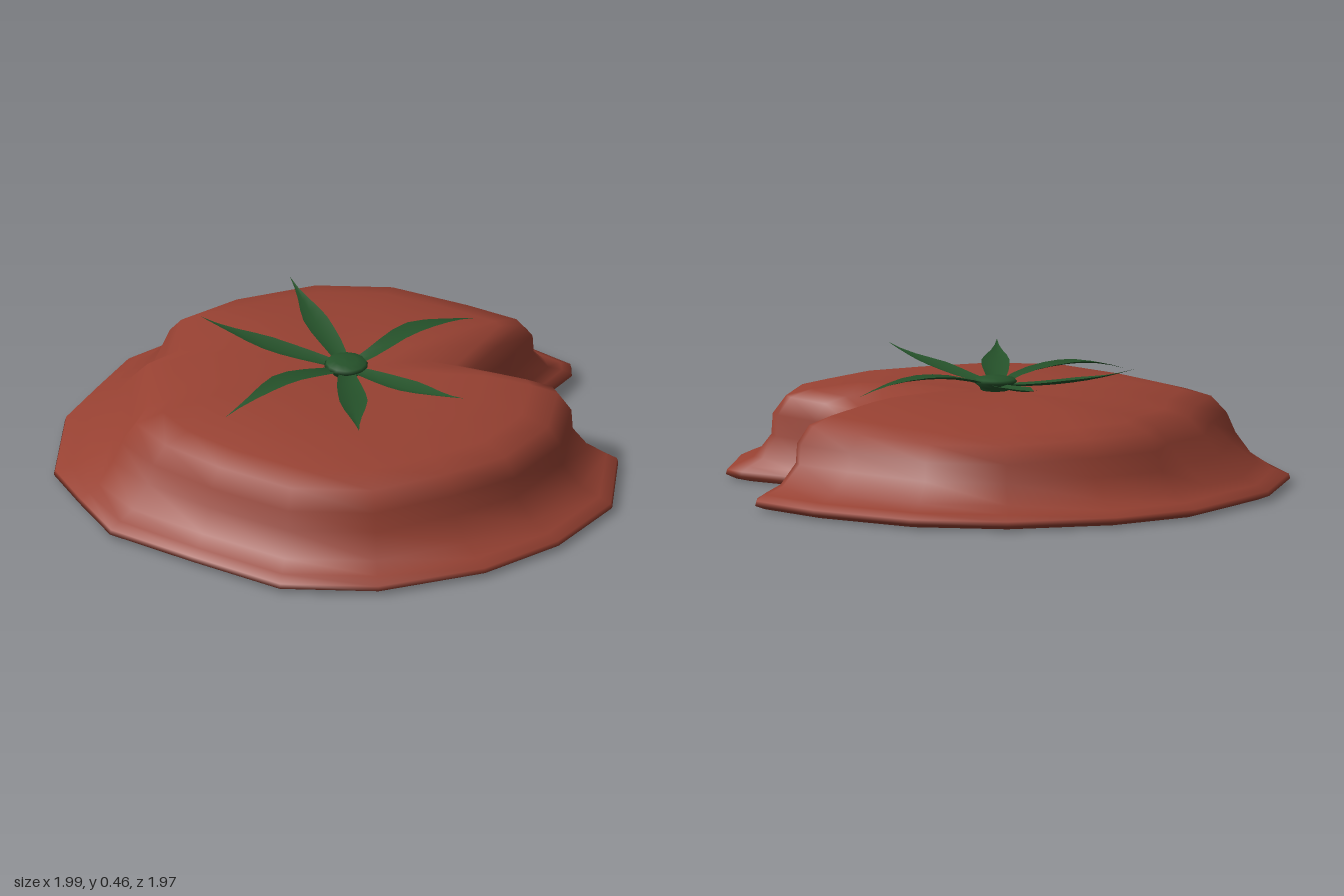
import * as THREE from 'three';

const skin = new THREE.MeshStandardMaterial({ color: 0x974132 });
skin.name = 'tomato red';
const leafGreen = new THREE.MeshStandardMaterial({ color: 0x25522a, side: THREE.DoubleSide });
leafGreen.name = 'leaf green';

const CX = 0.025, CZ = -0.01; // stem position
const lerp = THREE.MathUtils.lerp;

// One row per column: rim x, z, shoulder x, z, shoulder height, slump (0 upright, 1 flattened)
const columns = [
  [0.56, -0.20, 0.49, -0.18, 0.92, 0],
  [0.75, -0.12, 0.66, -0.09, 0.97, 0],
  [0.93, -0.04, 0.80, -0.02, 1.0, 0],
  [0.99, 0.01, 0.825, 0.03, 1.0, 0],
  [0.985, 0.34, 0.80, 0.29, 1.0, 0],
  [0.81, 0.62, 0.65, 0.53, 1.0, 0],
  [0.56, 0.83, 0.44, 0.67, 1.0, 0],
  [0.19, 0.98, 0.17, 0.81, 1.0, 0],
  [-0.16, 0.98, -0.14, 0.81, 1.0, 0],
  [-0.48, 0.80, -0.42, 0.65, 0.98, 0.1],
  [-0.78, 0.62, -0.63, 0.48, 0.96, 0.4],
  [-0.90, 0.40, -0.75, 0.32, 0.96, 0.8],
  [-1.0, 0.20, -0.71, 0.15, 0.92, 1],
  [-0.98, -0.19, -0.73, -0.15, 0.94, 1],
  [-0.88, -0.41, -0.62, -0.28, 0.90, 1],
  [-0.78, -0.62, -0.62, -0.50, 0.93, 0.5],
  [-0.53, -0.84, -0.42, -0.67, 0.92, 0.1],
  [-0.16, -0.985, -0.13, -0.81, 0.89, 0],
  [0.19, -0.985, 0.16, -0.81, 0.89, 0],
  [0.56, -0.83, 0.45, -0.67, 0.92, 0],
  [0.79, -0.66, 0.64, -0.56, 0.94, 0],
  [0.795, -0.60, 0.66, -0.52, 0.94, 0],
  [0.68, -0.40, 0.58, -0.35, 0.94, 0],
];

// Rings from the underside up: blend rim to shoulder (upright, slumped), scale to stem, height
const rings = [
  [0, 0, 0.5, 0.008],
  [0, 0, 0.96, 0.01],
  [0, 0, 1, 0.025],
  [0, 0, 0.995, 0.042],
  [0.25, 0.2, 1, 0.062],
  [0.6, 0.4, 1, 0.09],
  [0.97, 0.72, 1, 0.17],
  [1, 0.95, 1, 0.245],
  [1, 1, 0.94, 0.31],
  [1, 1, 0.82, 0.337],
  [1, 1, 0.62, 0.365],
  [1, 1, 0.35, 0.367],
  [1, 1, 0.12, 0.355],
];

function bodyGeometry() {
  const pos = [], index = [], n = columns.length;
  for (const [upright, slumped, scale, y] of rings) {
    for (const [ox, oz, sx, sz, high, slump] of columns) {
      const t = lerp(upright, slumped, slump);
      const h = lerp(1, high, upright * Math.min(1, scale * 1.3 - 0.15));
      pos.push(CX + (lerp(ox, sx, t) - CX) * scale, y * h, CZ + (lerp(oz, sz, t) - CZ) * scale);
    }
  }
  for (let r = 0; r < rings.length - 1; r++) {
    for (let i = 0; i < n; i++) {
      const j = (i + 1) % n;
      const a = r * n + i, b = r * n + j, c = b + n, d = a + n;
      index.push(a, d, c, a, c, b);
    }
  }
  // Close the underside and the stem dimple
  const bottom = pos.length / 3, top = bottom + 1, last = (rings.length - 1) * n;
  pos.push(CX, 0.02, CZ, CX, 0.352, CZ);
  for (let i = 0; i < n; i++) {
    const j = (i + 1) % n;
    index.push(bottom, i, j, last + i, top, last + j);
  }
  const g = new THREE.BufferGeometry();
  g.setAttribute('position', new THREE.Float32BufferAttribute(pos, 3));
  g.setIndex(index);
  g.computeVertexNormals();
  return g;
}

// Pointed leaf with a folded midrib, bent through a base, middle and tip height
function leafGeometry(tipX, tipZ, midY, tipY, width, wave) {
  const pos = [], index = [], steps = 8;
  const dx = tipX - CX, dz = tipZ - CZ, len = Math.hypot(dx, dz);
  const px = -dz / len, pz = dx / len;
  const curve = new THREE.QuadraticBezierCurve(
    new THREE.Vector2(0.03, 0.37), new THREE.Vector2(len * 0.55, midY), new THREE.Vector2(len, tipY));
  for (let i = 0; i <= steps; i++) {
    const t = i / steps, p = curve.getPoint(t);
    const half = width * 0.5 * (0.5 + 0.5 * Math.sin(Math.PI * Math.min(1, t * 1.1))) * Math.min(1, (1 - t) * 2.2);
    const bend = wave * Math.sin(t * Math.PI * 3) * (1 - t);
    for (const s of [-1, 0, 1]) {
      const off = s * half + bend;
      pos.push(CX + dx / len * p.x + px * off, p.y + Math.abs(s) * half * 0.3, CZ + dz / len * p.x + pz * off);
    }
    if (i < steps) {
      for (const k of [0, 1]) {
        const a = i * 3 + k;
        index.push(a, a + 1, a + 4, a, a + 4, a + 3);
      }
    }
  }
  const g = new THREE.BufferGeometry();
  g.setAttribute('position', new THREE.Float32BufferAttribute(pos, 3));
  g.setIndex(index);
  g.computeVertexNormals();
  return g;
}

export function createModel() {
  const model = new THREE.Group();
  model.name = 'squashedTomato';
  const add = (name, geometry, material) => {
    const mesh = new THREE.Mesh(geometry, material);
    mesh.name = name;
    model.add(mesh);
    return mesh;
  };

  add('tomatoBody', bodyGeometry(), skin);

  // Tip x, tip z, middle height, tip height, width, waviness
  const leaves = [
    [0.46, -0.38, 0.46, 0.375, 0.08, 0.012],
    [-0.20, -0.53, 0.385, 0.44, 0.09, 0.004],
    [-0.50, -0.18, 0.38, 0.468, 0.09, 0.004],
    [-0.385, 0.38, 0.46, 0.375, 0.08, -0.012],
    [0.10, 0.565, 0.385, 0.44, 0.10, 0.004],
    [0.46, 0.345, 0.38, 0.458, 0.09, -0.004],
  ];
  leaves.forEach((leaf, i) => add('leaf' + (i + 1), leafGeometry(...leaf), leafGreen));

  // Short stem stub with a domed top
  const profile = [[0.045, 0.34], [0.055, 0.365], [0.078, 0.383], [0.07, 0.394], [0.04, 0.401], [0, 0.403]]
    .map(([r, y]) => new THREE.Vector2(r, y));
  add('stem', new THREE.LatheGeometry(profile, 14), leafGreen).position.set(CX, 0, CZ);

  return model;
}
